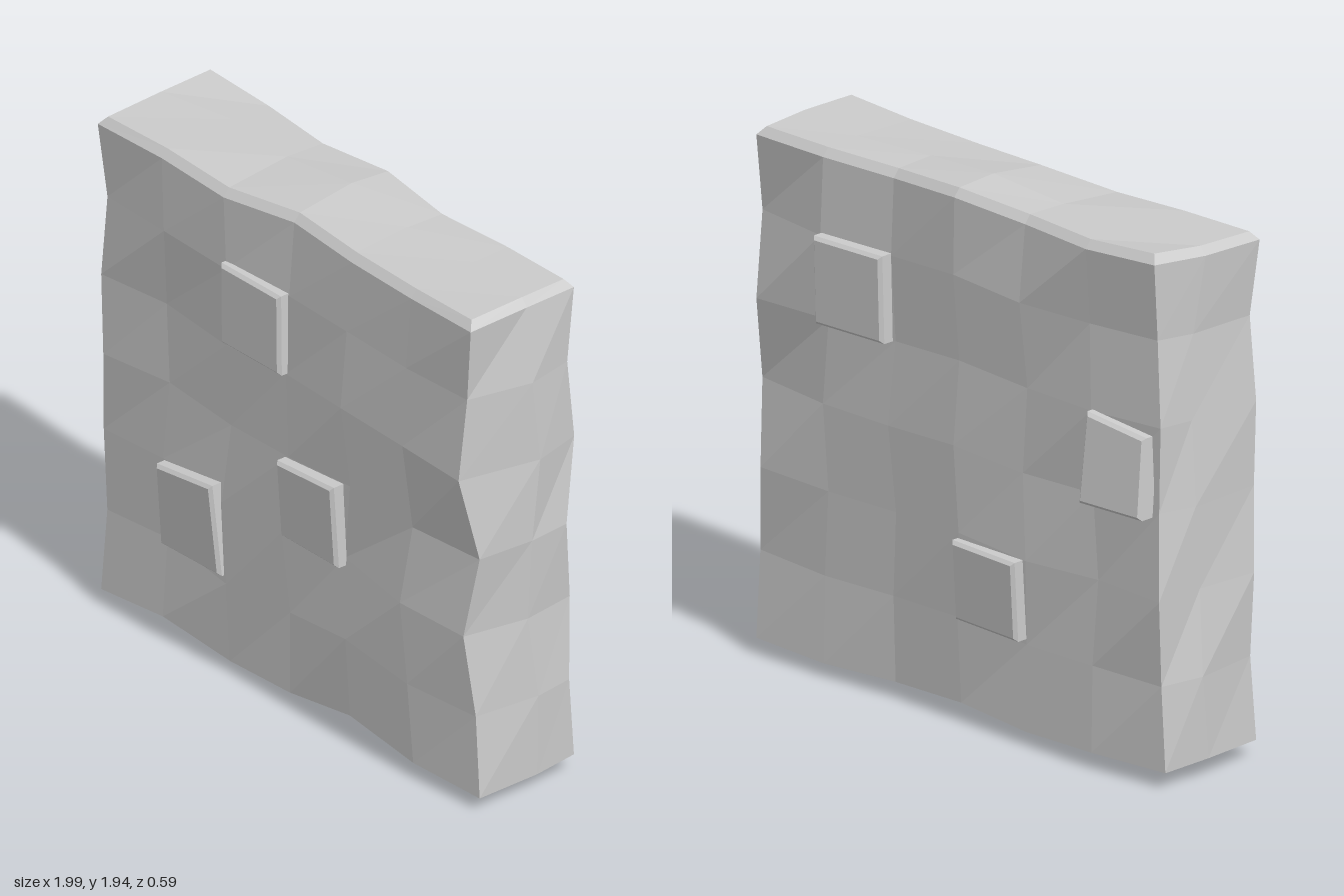
import * as THREE from 'three';

const mat = new THREE.MeshStandardMaterial({ color: 0xcccccc, flatShading: true });

// Uneven outlines, one value per grid line; three depth layers: back, middle, front
const leftX = [
  [-0.97, -0.96, -0.97, -0.95, -0.96, -0.94, -0.95],
  [-0.99, -1.0, -0.97, -0.98, -0.96, -0.95, -0.97],
  [-0.96, -0.95, -0.97, -0.95, -0.96, -0.94, -0.97],
];
const rightX = [
  [0.95, 0.96, 0.94, 0.97, 0.94, 0.95, 0.95],
  [0.96, 0.97, 0.96, 0.98, 0.99, 0.99, 0.96],
  [0.96, 0.94, 0.91, 0.96, 0.92, 0.93, 0.96],
];
const bottomY = [
  [0.06, 0.06, 0.05, 0.07, 0.06, 0.05, 0.06],
  [0.07, 0.0, 0.05, 0.06, 0.04, 0.06, 0.05],
  [0.06, 0.09, 0.045, 0.06, 0.11, 0.06, 0.05],
];
const topY = [
  [1.93, 1.91, 1.91, 1.93, 1.91, 1.91, 1.91],
  [1.91, 1.91, 1.91, 1.94, 1.915, 1.91, 1.915],
  [1.9, 1.9, 1.885, 1.91, 1.9, 1.9, 1.91],
];
// Depth of the vertical edges on the right end, and of the top rim
const endFront = [0.21, 0.21, 0.24, 0.21, 0.27, 0.24, 0.25];
const endBack = [0.22, 0.19, 0.21, 0.17, 0.23, 0.19, 0.22];
const rimFront = [0.26, 0.25, 0.25, 0.21, 0.23, 0.24, 0.25];
const rimBack = [0.23, 0.24, 0.21, 0.23, 0.2, 0.22, 0.22];

// Repeatable bump in the range -1..1 for each grid point
function bump(i, j, k) {
  const s = Math.sin(i * 12.99 + j * 78.23 + k * 37.7) * 43758.5;
  return 2 * (s - Math.floor(s)) - 1;
}

function slabGeometry() {
  // Six columns, six rows plus one bevel row at the top, two layers deep
  const geo = new THREE.BoxGeometry(6, 7, 2, 6, 7, 2);
  const p = geo.attributes.position;
  for (let v = 0; v < p.count; v++) {
    const i = Math.round(p.getX(v) + 3);
    const row = Math.round(p.getY(v) + 3.5);
    const k = Math.round(p.getZ(v) + 1);
    const j = Math.min(row, 6);
    const lx = leftX[k][j], rx = rightX[k][j];
    const by = bottomY[k][i], ty = topY[k][i];
    let x = lx + (rx - lx) * i / 6;
    let y = by + (ty - by) * j / 6;
    let z;
    if (k === 1) z = -0.03 + 0.03 * bump(i, j, 1);
    else {
      const front = k === 2;
      if (j === 6) z = (front ? rimFront : rimBack)[i];
      else if (i === 6) z = (front ? endFront : endBack)[j];
      else z = (front ? 0.245 : 0.215) + 0.018 * bump(i, j, k);
      if (!front) z = -z;
    }
    // Inset the uppermost row to make the worn top bevel
    if (row === 6) y -= 0.03;
    if (row === 7) {
      if (i === 0) x += 0.025;
      if (i === 6) x -= 0.025;
      if (k !== 1) z -= Math.sign(z) * 0.025;
    }
    p.setXYZ(v, x, y, z);
  }
  geo.computeVertexNormals();
  return geo;
}

// Raised stone: outline corners, outer face depth and its lean across x and y
function stone({ name, corners, z, lean, side }) {
  const bevel = 0.012, depth = 0.075;
  const cx = corners.reduce((s, c) => s + c[0], 0) / 4;
  const cy = corners.reduce((s, c) => s + c[1], 0) / 4;
  const shape = new THREE.Shape(corners.map(([x, y]) => new THREE.Vector2(
    x - Math.sign(x - cx) * bevel, y - Math.sign(y - cy) * bevel)));
  const geo = new THREE.ExtrudeGeometry(shape, {
    depth: depth - 2 * bevel, bevelEnabled: true, bevelSize: bevel,
    bevelThickness: bevel, bevelSegments: 1,
  });
  geo.translate(0, 0, side > 0 ? z - depth + bevel : -z + bevel);
  const p = geo.attributes.position;
  for (let v = 0; v < p.count; v++) {
    const shift = lean[0] * (p.getX(v) - cx) + lean[1] * (p.getY(v) - cy);
    p.setZ(v, p.getZ(v) + shift);
  }
  geo.computeVertexNormals();
  const mesh = new THREE.Mesh(geo, mat);
  mesh.name = name;
  return mesh;
}

const rect = (x0, x1, y0, y1) => [[x0, y0], [x1, y0], [x1, y1], [x0, y1]];

export function createModel() {
  const group = new THREE.Group();
  group.name = 'stoneWall';

  const slab = new THREE.Mesh(slabGeometry(), mat);
  slab.name = 'wallSlab';
  group.add(slab);

  const stones = [
    { name: 'frontUpperStone', side: 1, z: 0.275, lean: [0, 0.01], corners: rect(-0.32, -0.01, 1.3, 1.61) },
    { name: 'frontMiddleStone', side: 1, z: 0.285, lean: [0.01, 0.07],
      corners: [[-0.01, 0.68], [0.29, 0.68], [0.29, 1.0], [-0.01, 0.98]] },
    { name: 'frontLowerStone', side: 1, z: 0.275, lean: [0.02, 0.07],
      corners: [[-0.65, 0.37], [-0.33, 0.38], [-0.35, 0.73], [-0.65, 0.69]] },
    { name: 'backUpperStone', side: -1, z: 0.267, lean: [-0.05, -0.03], corners: rect(0.32, 0.63, 1.29, 1.61) },
    { name: 'backMiddleStone', side: -1, z: 0.272, lean: [-0.06, 0.12],
      corners: [[-0.93, 0.98], [-0.65, 0.98], [-0.65, 1.3], [-0.92, 1.27]] },
    { name: 'backLowerStone', side: -1, z: 0.26, lean: [0.05, -0.06], corners: rect(-0.32, -0.01, 0.38, 0.67) },
  ];
  for (const s of stones) group.add(stone(s));
  return group;
}
